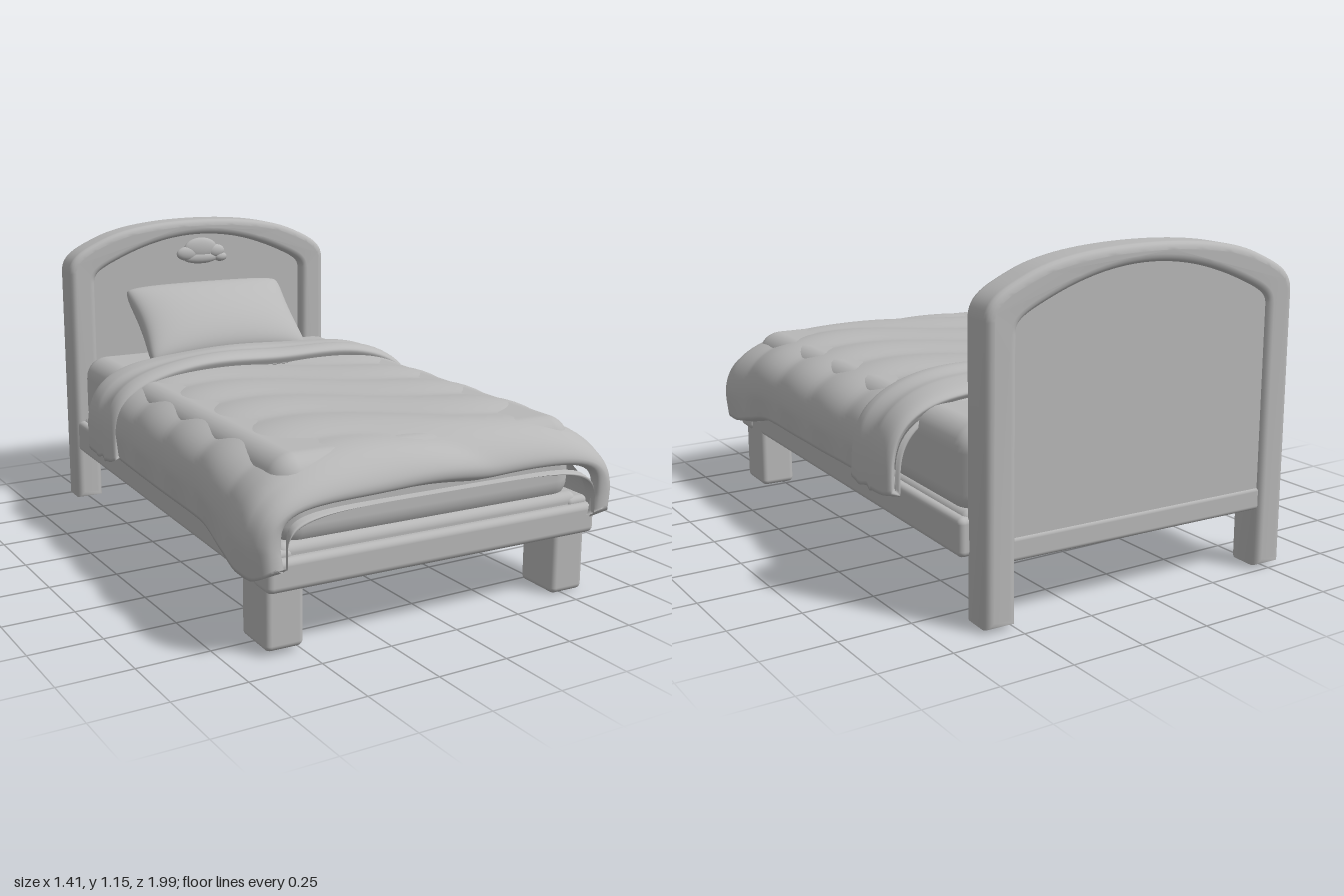
import * as THREE from 'three';
import { RoundedBoxGeometry } from 'three/addons/geometries/RoundedBoxGeometry.js';
import { mergeVertices } from 'three/addons/utils/BufferGeometryUtils.js';

const grey = new THREE.MeshStandardMaterial({ color: 0xb8b8b8 });
grey.name = 'plain grey';

function add(parent, name, geometry) {
  const mesh = new THREE.Mesh(geometry, grey);
  mesh.name = name;
  parent.add(mesh);
  return mesh;
}

// Rounded box given by its minimum and maximum corners
function block(parent, name, [x0, y0, z0], [x1, y1, z1], radius) {
  const mesh = add(parent, name, new RoundedBoxGeometry(x1 - x0, y1 - y0, z1 - z0, 4, radius));
  mesh.position.set((x0 + x1) / 2, (y0 + y1) / 2, (z0 + z1) / 2);
  return mesh;
}

// Indexed surface from a rule; wrapU joins the ends of each row
function surface(nu, nv, rule, wrapU = false) {
  const pos = [], idx = [], cols = wrapU ? nu : nu + 1;
  for (let j = 0; j <= nv; j++) for (let i = 0; i < cols; i++) pos.push(...rule(i / nu, j / nv));
  for (let j = 0; j < nv; j++) for (let i = 0; i < nu; i++) {
    const a = j * cols + i, b = j * cols + (i + 1) % cols, c = a + cols, d = b + cols;
    idx.push(a, c, b, b, c, d);
  }
  const g = new THREE.BufferGeometry();
  g.setAttribute('position', new THREE.Float32BufferAttribute(pos, 3));
  g.setIndex(idx);
  g.computeVertexNormals();
  return g;
}

// Thick arched cloth lofted through keys [z, half width, top, hem, thickness, squareness]
function drape(keys, steps, puff) {
  const shape = new THREE.CatmullRomCurve3(keys.map(k => new THREE.Vector3(k[0], k[1], k[2])));
  const hem = new THREE.CatmullRomCurve3(keys.map(k => new THREE.Vector3(k[3], k[4], k[5])));
  return surface(160, steps, (u, v) => {
    const { x: z, y: w, z: top } = shape.getPoint(v), { x: low, y: thick, z: n } = hem.getPoint(v);
    const outer = u < 0.5, a = Math.PI * (outer ? 1 - 2 * u : 2 * u - 1);
    const c = Math.cos(a), s = Math.max(0, Math.sin(a)), inset = outer ? 0 : thick;
    const r = (Math.abs(c) ** n + s ** n) ** (-1 / n), px = c * r, py = s * r;
    // Puffs fade out toward the hem so that it stays rounded
    const d = outer ? puff(px * w, z) * Math.min(1, py * 3) : 0;
    return [px * (w - inset + d), low + py * (top - low - inset + d), z];
  }, true);
}

// Arched headboard outline, used for both the frame and its panel
function arch(path, half, shoulder, corner, peak, base) {
  path.moveTo(-half, base);
  path.lineTo(-half, shoulder);
  path.bezierCurveTo(-half, corner - 0.02, -half + 0.04, corner, -half + 0.13, corner + 0.04);
  path.bezierCurveTo(-half + 0.24, corner + 0.088, -0.14, peak, 0, peak);
  path.bezierCurveTo(0.14, peak, half - 0.24, corner + 0.088, half - 0.13, corner + 0.04);
  path.bezierCurveTo(half - 0.04, corner, half, corner - 0.02, half, shoulder);
  path.lineTo(half, base);
  return path;
}

function buildHeadboard() {
  const g = new THREE.Group();
  g.name = 'headboard';
  g.position.x = -0.01;
  const bevel = 0.025;
  const outline = arch(new THREE.Shape(), 0.58 - bevel, 0.95, 1.02, 1.145 - bevel, 0.01 + bevel);
  const inner = arch(new THREE.Path(), 0.475 + bevel, 0.91, 0.985, 1.083 + bevel, 0.01 + bevel);
  // Frame: the inner arch closes the outline into an upside-down U
  const pts = [...outline.getPoints(16), ...inner.getPoints(16).reverse()];
  const frame = add(g, 'headboardFrame', new THREE.ExtrudeGeometry(new THREE.Shape(pts), {
    depth: 0.132 - 2 * bevel, bevelEnabled: true, bevelSize: bevel, bevelThickness: bevel, bevelSegments: 4,
  }));
  frame.geometry.deleteAttribute('uv');
  frame.geometry.deleteAttribute('normal');
  frame.geometry = mergeVertices(frame.geometry, 1e-4);
  frame.geometry.computeVertexNormals();
  frame.position.z = -0.977 + bevel;
  // Recessed panel
  const panel = add(g, 'headboardPanel', new THREE.ExtrudeGeometry(
    arch(new THREE.Shape(), 0.5, 0.92, 0.99, 1.1, 0.23), { depth: 0.07, bevelEnabled: false, curveSegments: 16 }));
  panel.position.z = -0.96;
  block(g, 'headboardRail', [-0.5, 0.21, -0.965], [0.5, 0.29, -0.86], 0.015);
  // Small cloud-like relief on the panel
  for (const [x, y, rx, ry] of [[-0.05, 1.0, 0.05, 0.03], [0.01, 1.02, 0.075, 0.045],
    [0.01, 0.98, 0.08, 0.025], [0.08, 1.005, 0.04, 0.028], [0.1, 0.98, 0.03, 0.02]]) {
    const lump = add(g, 'relief', new THREE.SphereGeometry(1, 20, 12));
    lump.scale.set(rx, ry, 0.018);
    lump.position.set(x, y, -0.89);
  }
  return g;
}

function buildPillow() {
  const g = new THREE.Group();
  g.name = 'pillow';
  for (const side of [1, -1]) {
    add(g, side > 0 ? 'pillowFront' : 'pillowBack', surface(40, 28, (s, t) => {
      // Edges pinch in between four softly rounded corners
      const u = -Math.cos(Math.PI * s), v = Math.cos(Math.PI * t);
      const bulge = ((1 - u * u) * (1 - v * v)) ** 0.37, round = 1 - 0.05 * (u * v) ** 6;
      return [side * 0.355 * u * round * (1 - 0.06 * (1 - v * v)),
        0.195 * v * round * (1 - 0.05 * (1 - u * u)), side * 0.1 * bulge];
    }));
  }
  g.position.set(-0.02, 0.745, -0.69);
  g.rotation.x = -0.85;
  return g;
}

export function createModel() {
  const model = new THREE.Group();
  model.name = 'bed';
  const bed = new THREE.Group();
  bed.name = 'bedParts';
  bed.rotation.y = -0.037;
  model.add(bed);

  bed.add(buildHeadboard(), buildPillow());

  // Frame rails, slightly narrower at the head, and front legs
  const base = new THREE.Group();
  base.name = 'bedBase';
  base.position.x = 0.012;
  bed.add(base);
  block(base, 'frontRail', [-0.62, 0.213, 0.83], [0.62, 0.318, 0.945], 0.022);
  for (const s of [-1, 1]) {
    const rail = block(base, 'sideRail', [-0.045, 0.213, -0.87], [0.045, 0.34, 0.92], 0.02);
    rail.position.x = s * 0.555;
    rail.rotation.y = s * 0.01;
    const foot = s < 0 ? 0.015 : 0;
    block(base, 'frontLeg', [s * 0.543 - 0.066, foot, 0.735], [s * 0.543 + 0.066, 0.28, 0.91], 0.02);
  }

  // Wide boards under the mattress
  const boards = 4, pitch = 1.72 / boards;
  for (let i = 0; i < boards; i++) {
    const z = -0.87 + i * pitch;
    block(base, 'baseBoard', [-0.54, 0.25, z + 0.002], [0.54, 0.3, z + pitch - 0.002], 0.006);
  }

  block(base, 'mattressBase', [-0.57, 0.285, -0.865], [0.57, 0.355, 0.915], 0.03);
  block(base, 'mattress', [-0.565, 0.315, -0.87], [0.565, 0.613, 0.905], 0.085);

  // Quilted blanket with wavy diagonal seams and a drooping front
  const bedding = new THREE.Group();
  bedding.name = 'bedding';
  bedding.position.x = 0.022;
  bed.add(bedding);
  add(bedding, 'blanket', drape([
    [-0.46, 0.63, 0.622, 0.34, 0.03, 4],
    [-0.3, 0.638, 0.624, 0.33, 0.04, 4],
    [0.1, 0.645, 0.624, 0.325, 0.04, 4],
    [0.5, 0.652, 0.622, 0.325, 0.045, 4],
    [0.7, 0.668, 0.62, 0.285, 0.055, 3.8],
    [0.82, 0.675, 0.608, 0.258, 0.065, 3.6],
    [0.9, 0.672, 0.583, 0.258, 0.07, 3.6],
    [0.95, 0.655, 0.545, 0.275, 0.07, 4],
    [0.972, 0.63, 0.508, 0.295, 0.05, 4.5],
    [0.968, 0.595, 0.478, 0.29, 0.02, 6],
    [0.945, 0.575, 0.466, 0.28, 0.005, 7],
  ], 160, (x, z) => {
    const seam = z - 0.17 * Math.tanh(x * 3.2) - 0.02 * Math.sin(x * 8);
    return 0.016 * Math.sqrt(Math.sin(Math.PI * seam / 0.29) ** 2 + 0.03);
  }));

  // Folded-back band at the head of the blanket
  add(bedding, 'foldedBand', drape([
    [-0.545, 0.635, 0.632, 0.345, 0.002, 3.6],
    [-0.553, 0.65, 0.65, 0.33, 0.03, 3.6],
    [-0.53, 0.667, 0.664, 0.32, 0.055, 3.6],
    [-0.44, 0.67, 0.675, 0.315, 0.06, 3.6],
    [-0.39, 0.662, 0.672, 0.315, 0.06, 3.6],
    [-0.33, 0.672, 0.682, 0.315, 0.06, 3.6],
    [-0.285, 0.668, 0.675, 0.32, 0.055, 3.6],
    [-0.266, 0.655, 0.66, 0.33, 0.03, 3.6],
    [-0.275, 0.635, 0.632, 0.345, 0.002, 3.6],
  ], 48, (x, z) => 0.004 * Math.sin(x * 11 + z * 8)));

  return model;
}
